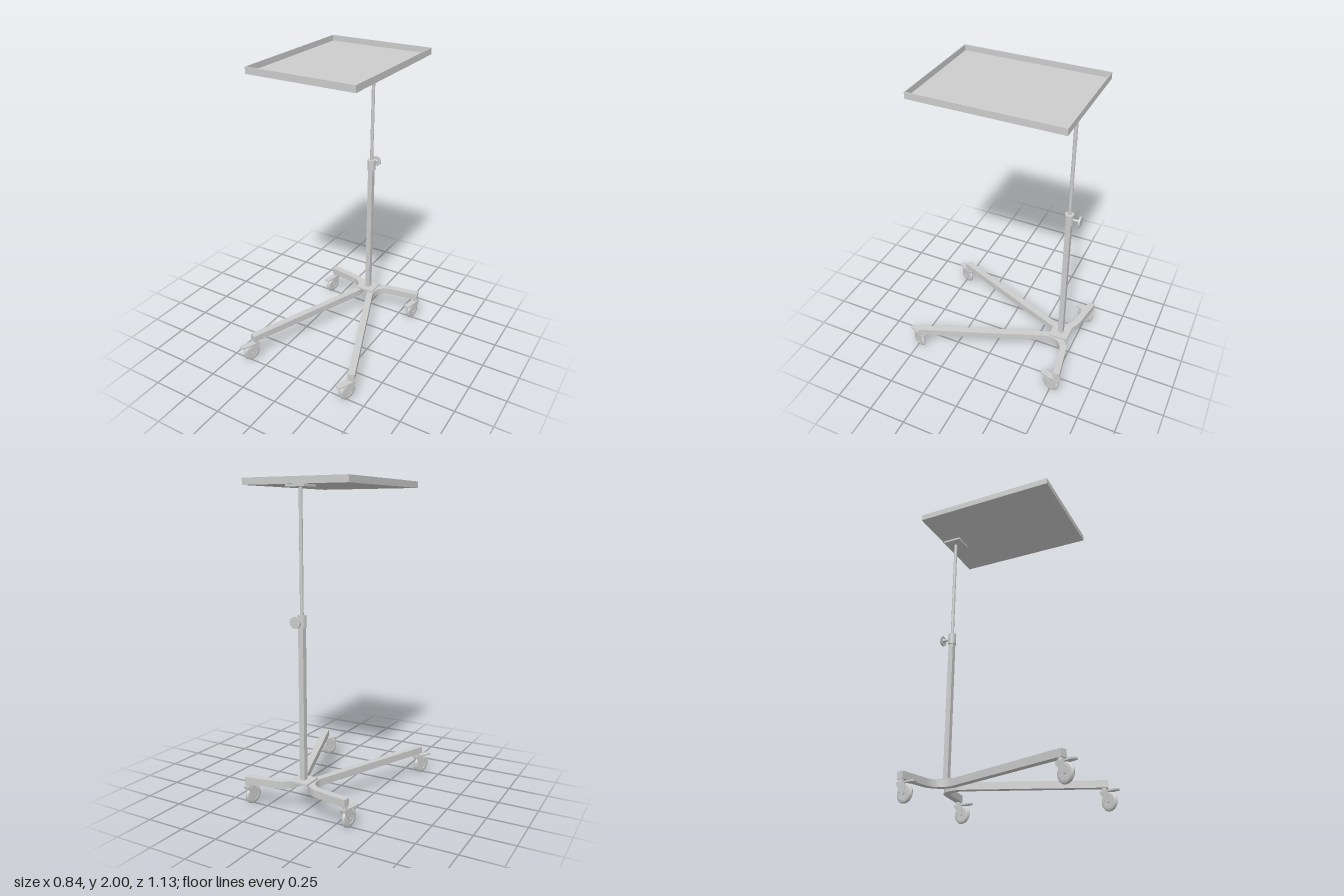
import * as THREE from 'three';
import { toCreasedNormals } from 'three/addons/utils/BufferGeometryUtils.js';

const grey = new THREE.MeshStandardMaterial({ color: 0xcccccc, side: THREE.DoubleSide });
const POLE_X = 0.0165, POLE_Z = -0.44;

function add(parent, name, geometry, x = 0, y = 0, z = 0) {
  const mesh = new THREE.Mesh(geometry, grey);
  mesh.name = name;
  mesh.position.set(x, y, z);
  parent.add(mesh);
  return mesh;
}

const box = (w, h, d) => new THREE.BoxGeometry(w, h, d);
const rod = (r, h, n = 24) => new THREE.CylinderGeometry(r, r, h, n);

// Shallow tray: thin floor inside a raised rim
function makeTray() {
  const tray = new THREE.Group();
  tray.name = 'tray';
  const w = 0.352, d = 0.468, t = 0.005;
  const rect = (path, a, b) => path.moveTo(-a, -b).lineTo(a, -b).lineTo(a, b).lineTo(-a, b).closePath();
  const shape = rect(new THREE.Shape(), w, d);
  shape.holes.push(rect(new THREE.Path(), w - t, d - t));
  const rim = new THREE.ExtrudeGeometry(shape, { depth: 0.041, bevelEnabled: false }).rotateX(Math.PI / 2);
  add(tray, 'trayRim', rim, 0, 2, 0);
  add(tray, 'trayFloor', box(2 * (w - t), 0.005, 2 * (d - t)), 0, 1.9615, 0);
  tray.position.set(0.0175, 0, -0.047);
  return tray;
}

// Bent square leg: straight front run, rounded bend beside the pole, straight rear run
function makeLegGeometry(side) {
  const corner = new THREE.Vector2(0.005, -0.486);
  const front = new THREE.Vector2(0.381, 0.481), rear = new THREE.Vector2(0.357, -0.544);
  const d1 = front.clone().sub(corner).normalize(), d2 = rear.clone().sub(corner).normalize();
  const half = Math.acos(d1.dot(d2)) / 2, r = 0.12, run = r / Math.tan(half);
  const centre = d1.clone().add(d2).normalize().multiplyScalar(r / Math.sin(half)).add(corner);
  const a0 = corner.clone().addScaledVector(d1, run).sub(centre).angle();
  const a1 = corner.clone().addScaledVector(d2, run).sub(centre).angle();
  const centreLine = [front], normals = [new THREE.Vector2(Math.cos(a0), Math.sin(a0))];
  for (let i = 0; i <= 14; i++) {
    const a = a0 + (a1 - a0) * i / 14;
    const n = new THREE.Vector2(Math.cos(a), Math.sin(a));
    centreLine.push(centre.clone().addScaledVector(n, r));
    normals.push(n);
  }
  centreLine.push(rear);
  normals.push(normals[normals.length - 1]);
  const offset = (s) => centreLine.map((p, i) => p.clone().addScaledVector(normals[i], s));
  const outline = [...offset(0.022), ...offset(-0.022).reverse()];
  outline.forEach((p) => { p.x *= side; });
  const geometry = new THREE.ExtrudeGeometry(new THREE.Shape(outline), { depth: 0.046, bevelEnabled: false });
  return toCreasedNormals(geometry.rotateX(Math.PI / 2), 0.5);
}

// Swivel caster, trailing along its own +z
function makeCaster(x, z, angle) {
  const caster = new THREE.Group();
  caster.name = 'caster';
  const wheelY = 0.059, wheelZ = 0.036;

  // Tyre with rounded tread, recessed hub and axle
  const tyre = [[0.034, -0.012], [0.05, -0.012], [0.056, -0.008], [0.059, 0],
    [0.056, 0.008], [0.05, 0.012], [0.034, 0.012], [0.034, -0.012]].map(([a, b]) => new THREE.Vector2(a, b));
  const tyreGeometry = toCreasedNormals(new THREE.LatheGeometry(tyre, 32).rotateZ(Math.PI / 2), 0.7);
  add(caster, 'tyre', tyreGeometry, 0, wheelY, wheelZ);
  add(caster, 'hub', rod(0.035, 0.016, 32).rotateZ(Math.PI / 2), 0, wheelY, wheelZ);
  add(caster, 'axle', rod(0.008, 0.044, 16).rotateZ(Math.PI / 2), 0, wheelY, wheelZ);

  // Fork: two tapering cheeks under a bridge
  const cheek = new THREE.Shape();
  cheek.moveTo(-0.022, 0.127).lineTo(0.042, 0.127).lineTo(0.046, 0.06)
    .absarc(wheelZ, wheelY, 0.011, 0, -Math.PI * 0.75, true).lineTo(-0.022, 0.112).closePath();
  for (const s of [-1, 1]) {
    const g = new THREE.ExtrudeGeometry(cheek, { depth: 0.004, bevelEnabled: false });
    g.rotateY(-Math.PI / 2).translate(0.002, 0, 0);
    add(caster, 'forkCheek', g, s * 0.0165, 0, 0);
  }
  add(caster, 'forkBridge', box(0.037, 0.006, 0.064), 0, 0.124, 0.01);
  add(caster, 'stem', rod(0.016, 0.026), 0, 0.135, 0);

  // Brake pedal with a rounded tip
  const pedal = new THREE.Shape();
  pedal.moveTo(-0.02, 0.03).lineTo(0.02, 0.03).lineTo(0.02, 0.1).quadraticCurveTo(0.02, 0.112, 0.01, 0.112)
    .lineTo(-0.01, 0.112).quadraticCurveTo(-0.02, 0.112, -0.02, 0.1).closePath();
  const pedalGeometry = new THREE.ExtrudeGeometry(pedal, { depth: 0.01, bevelEnabled: false });
  add(caster, 'brakePedal', pedalGeometry.rotateX(Math.PI / 2), 0, 0.127, 0);

  caster.position.set(x, 0, z);
  caster.rotation.y = angle;
  return caster;
}

// Telescopic pole with plates, clamp collar and locking knob
function makePole() {
  const pole = new THREE.Group();
  pole.name = 'pole';
  add(pole, 'basePlate', box(0.126, 0.011, 0.126), 0, 0.196, 0);
  add(pole, 'lowerTube', box(0.034, 0.96, 0.034), 0, 0.67, 0);
  add(pole, 'upperRod', rod(0.011, 0.77), 0, 1.565, 0);
  add(pole, 'topPlate', box(0.126, 0.014, 0.126), 0, 1.952, 0);
  add(pole, 'collar', rod(0.027, 0.075, 32), 0, 1.178, 0);
  add(pole, 'knobShaft', rod(0.008, 0.05, 16).rotateX(Math.PI / 2), 0, 1.18, -0.045);
  add(pole, 'knobNeck', new THREE.CylinderGeometry(0.009, 0.015, 0.012, 16).rotateX(Math.PI / 2), 0, 1.18, -0.06);
  add(pole, 'knob', rod(0.035, 0.011, 24).rotateX(Math.PI / 2), 0, 1.18, -0.071);
  pole.position.set(POLE_X, 0, POLE_Z);
  return pole;
}

export function createModel() {
  const model = new THREE.Group();
  model.name = 'instrumentTrolley';
  model.add(makeTray(), makePole());
  for (const side of [-1, 1]) {
    add(model, side > 0 ? 'leftLeg' : 'rightLeg', makeLegGeometry(side), POLE_X, 0.191, 0);
    model.add(makeCaster(POLE_X + side * 0.373, 0.458, -0.43));
    model.add(makeCaster(POLE_X + side * 0.342, -0.542, -0.2));
  }
  return model;
}
